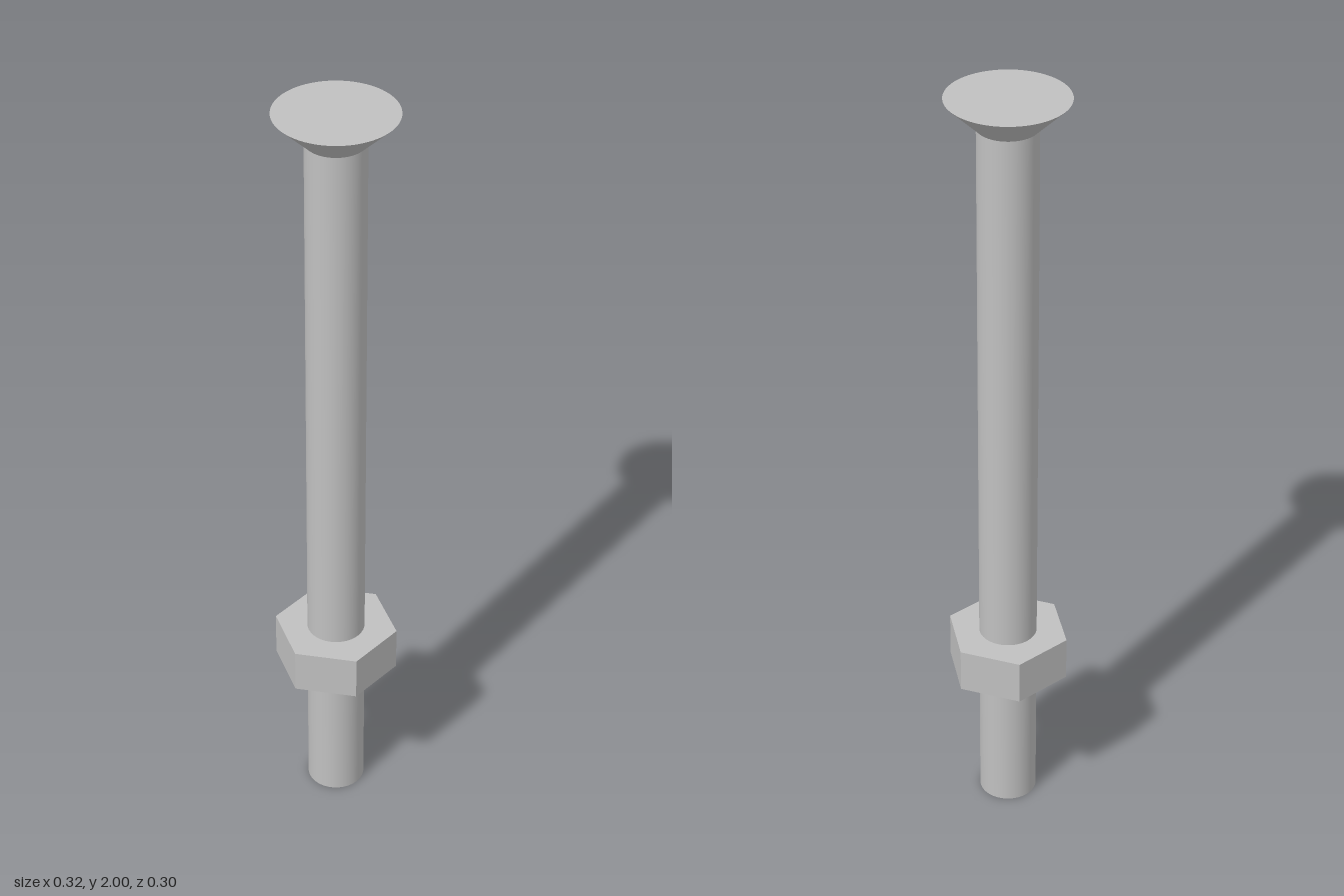
import * as THREE from 'three';

const SHAFT_R = 0.0735, HEAD_R = 0.149, NUT_R = 0.158;
const HEAD_Y = 1.926, TOP_Y = 2, NUT_Y0 = 0.39, NUT_Y1 = 0.507;

export function createModel() {
  const model = new THREE.Group();
  model.name = 'boltWithNut';
  const steel = new THREE.MeshStandardMaterial({ color: 0xc0c0c0 });
  steel.name = 'steel';

  const add = (name, geometry) => {
    const mesh = new THREE.Mesh(geometry, steel);
    mesh.name = name;
    model.add(mesh);
  };

  // Smooth round shaft, closed at its lower end
  const shaft = new THREE.LatheGeometry(
    [[SHAFT_R, 0], [SHAFT_R, HEAD_Y]].map(([r, y]) => new THREE.Vector2(r, y)), 64);
  add('shaft', shaft);
  add('shaftEnd', new THREE.CircleGeometry(SHAFT_R, 64).rotateX(Math.PI / 2));

  // Countersunk head: cone flaring up to a flat disc
  const headH = TOP_Y - HEAD_Y;
  add('headCone', new THREE.CylinderGeometry(HEAD_R, SHAFT_R, headH, 64, 1, true)
    .translate(0, HEAD_Y + headH / 2, 0));
  add('headTop', new THREE.CircleGeometry(HEAD_R, 64).rotateX(-Math.PI / 2).translate(0, TOP_Y, 0));

  // Hexagonal nut with a round bore, corners on the x axis
  const hexagon = new THREE.Shape(Array.from({ length: 6 }, (_, i) => {
    const a = (i * Math.PI) / 3;
    return new THREE.Vector2(NUT_R * Math.cos(a), NUT_R * Math.sin(a));
  }));
  hexagon.holes.push(new THREE.Path().absarc(0, 0, SHAFT_R, 0, Math.PI * 2, true));
  add('hexNut', new THREE.ExtrudeGeometry(hexagon, {
    depth: NUT_Y1 - NUT_Y0, bevelEnabled: false, curveSegments: 64,
  }).rotateX(-Math.PI / 2).translate(0, NUT_Y0, 0));

  return model;
}
